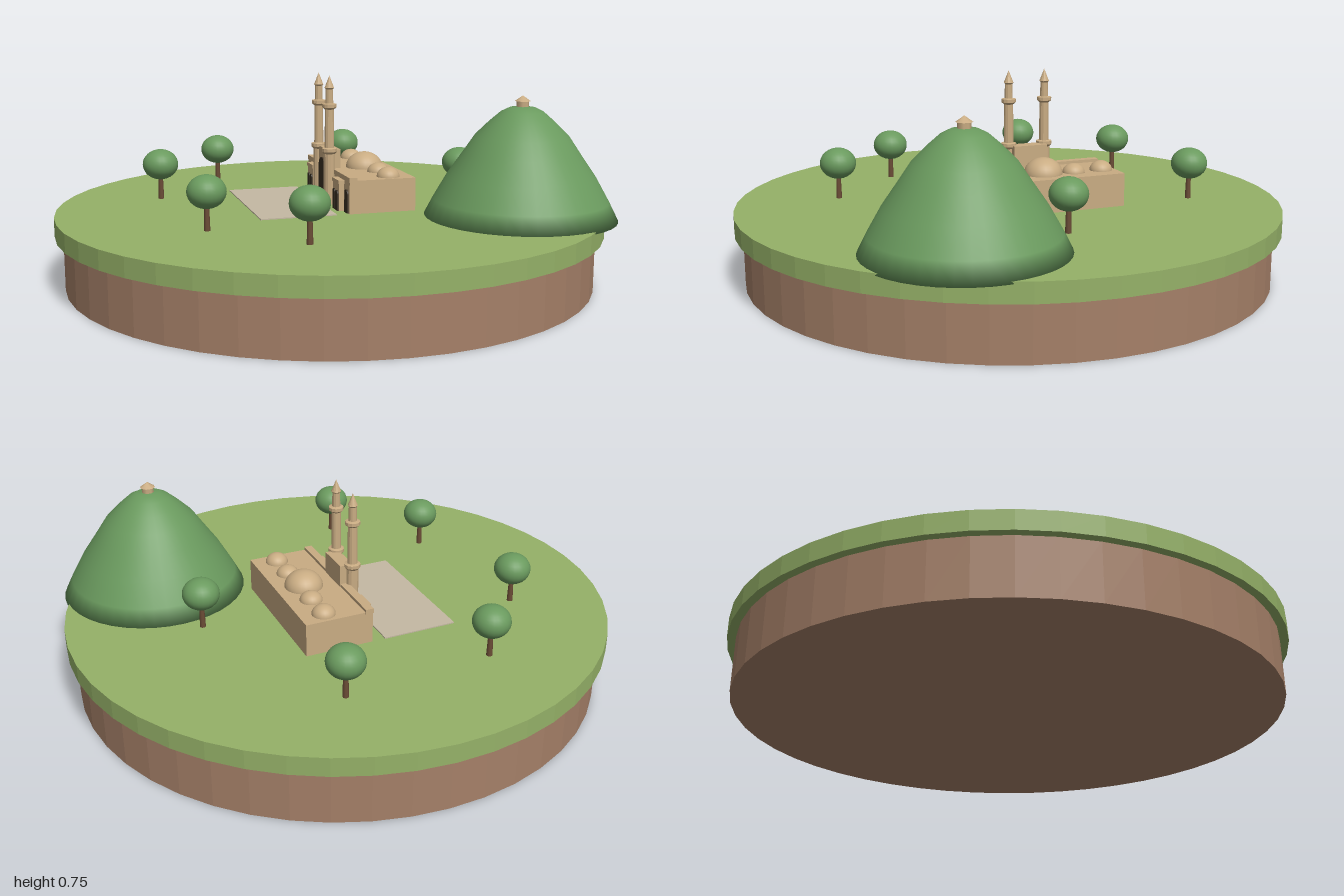
import * as THREE from 'three';

const mat = (name, color, extra = {}) => {
  const m = new THREE.MeshStandardMaterial({ color, ...extra });
  m.name = name;
  return m;
};

export function createModel() {
  const grass = mat('grass', 0x95b168);
  const earth = mat('earth', 0xa58068);
  const foliage = mat('foliage green', 0x6a9a5e);
  const stone = mat('sandstone', 0xc9ac83);
  const paving = mat('paving', 0xc5b9a3);
  const shade = mat('dark opening', 0x3a3024);
  const bark = mat('bark', 0x6b4c36);

  const root = new THREE.Group();
  root.name = 'islandWithMosque';
  const GROUND = 0.265;

  const add = (parent, name, geo, material, x = 0, y = 0, z = 0) => {
    const m = new THREE.Mesh(geo, material);
    m.name = name;
    m.position.set(x, y, z);
    parent.add(m);
    return m;
  };
  // Box given by its centre in x and z and its bottom and top
  const block = (parent, name, material, w, y0, y1, d, x, z) =>
    add(parent, name, new THREE.BoxGeometry(w, y1 - y0, d), material, x, (y0 + y1) / 2, z);
  const flat = (geo) => {
    const g = geo.toNonIndexed();
    g.computeVertexNormals();
    return g;
  };
  const lathe = (pts, sides) =>
    new THREE.LatheGeometry(pts.map(([r, y]) => new THREE.Vector2(r, y)), sides);

  // Round island
  add(root, 'earthBase', flat(new THREE.CylinderGeometry(0.97, 0.97, 0.2, 48)), earth, 0, 0.1, 0);
  add(root, 'grassDisc', flat(new THREE.CylinderGeometry(1, 1, 0.068, 48)), grass, 0, 0.231, 0);

  // Hill, closed underneath because it overhangs the rim
  const hill = new THREE.Group();
  hill.name = 'hill';
  hill.position.set(0.56, 0, -0.427);
  root.add(hill);
  add(hill, 'hillSlope', lathe([
    [0, 0.258], [0.342, 0.258], [0.308, 0.325], [0.26, 0.41], [0.205, 0.49],
    [0.165, 0.55], [0.115, 0.6], [0.075, 0.635], [0.045, 0.65], [0, 0.655],
  ], 40), foliage);
  add(hill, 'shrineDrum', new THREE.CylinderGeometry(0.022, 0.022, 0.03, 8), stone, 0, 0.66, 0);
  add(hill, 'shrineRoof', new THREE.ConeGeometry(0.028, 0.02, 8), stone, 0, 0.682, 0);

  // Trees
  const crownGeo = new THREE.SphereGeometry(0.067, 24, 16).scale(1, 0.86, 1);
  const trunkGeo = new THREE.CylinderGeometry(0.008, 0.011, 0.1, 8);
  [[-0.505, -0.446], [0.176, -0.495], [-0.663, 0.088], [-0.465, 0.457], [0.113, 0.591], [0.47, 0.425]]
    .forEach(([x, z]) => {
      const tree = new THREE.Group();
      tree.name = 'tree';
      tree.position.set(x, 0, z);
      add(tree, 'trunk', trunkGeo, bark, 0, GROUND + 0.05, 0);
      add(tree, 'crown', crownGeo, foliage, 0, 0.398, 0);
      root.add(tree);
    });

  // Building, turned on the island
  const mosque = new THREE.Group();
  mosque.name = 'mosque';
  mosque.position.set(-0.02, 0, -0.157);
  mosque.rotation.y = -0.35;
  root.add(mosque);
  block(mosque, 'hall', stone, 0.55, GROUND, 0.386, 0.25, 0, 0);
  block(mosque, 'frontParapet', stone, 0.555, 0.38, 0.397, 0.03, 0, 0.112);
  block(mosque, 'courtyard', paving, 0.555, GROUND - 0.005, GROUND + 0.004, 0.277, 0, 0.312);

  // Roof domes
  [[0, -0.02, 0.07, 0.06], [0.112, -0.038, 0.041, 0.034], [-0.112, -0.038, 0.041, 0.034],
    [0.222, -0.038, 0.042, 0.036], [-0.222, -0.038, 0.042, 0.036]].forEach(([x, z, r, h]) => {
    const geo = new THREE.SphereGeometry(r, 24, 10, 0, Math.PI * 2, 0, Math.PI / 2);
    add(mosque, 'dome', geo.scale(1, h / r, 1), stone, x, 0.385, z);
  });

  // Arched openings as thin plates
  const arch = (x, z, w, h) => {
    const r = w / 2;
    const s = new THREE.Shape();
    s.moveTo(-r, 0);
    s.lineTo(r, 0);
    s.lineTo(r, h - r);
    s.absarc(0, h - r, r, 0, Math.PI, false);
    s.closePath();
    const geo = new THREE.ExtrudeGeometry(s, { depth: 0.006, bevelEnabled: false, curveSegments: 8 });
    add(mosque, 'archOpening', geo, shade, x, GROUND, z - 0.001);
  };

  // Entrance portal
  block(mosque, 'portal', stone, 0.13, GROUND, 0.468, 0.05, 0, 0.12);
  arch(0, 0.145, 0.082, 0.165);

  // Minaret profile, shared by both towers
  const minaretGeo = flat(lathe([
    [0.022, GROUND], [0.022, 0.455], [0.029, 0.463], [0.029, 0.475], [0.018, 0.478],
    [0.017, 0.62], [0.027, 0.628], [0.027, 0.64], [0.015, 0.643],
    [0.014, 0.695], [0.018, 0.7], [0, 0.745],
  ], 12));

  // Mirrored wings: minaret, projecting bay and arcade
  for (const s of [-1, 1]) {
    add(mosque, 'minaret', minaretGeo, stone, s * 0.071, 0, 0.14);
    block(mosque, 'bay', stone, 0.072, GROUND, 0.368, 0.03, s * 0.173, 0.13);
    block(mosque, 'bayCornice', stone, 0.08, 0.365, 0.378, 0.036, s * 0.173, 0.13);
    arch(s * 0.243, 0.125, 0.034, 0.085);
    arch(s * 0.112, 0.125, 0.034, 0.085);
    arch(s * 0.19, 0.145, 0.026, 0.075);
    arch(s * 0.156, 0.145, 0.026, 0.075);
  }

  return root;
}
